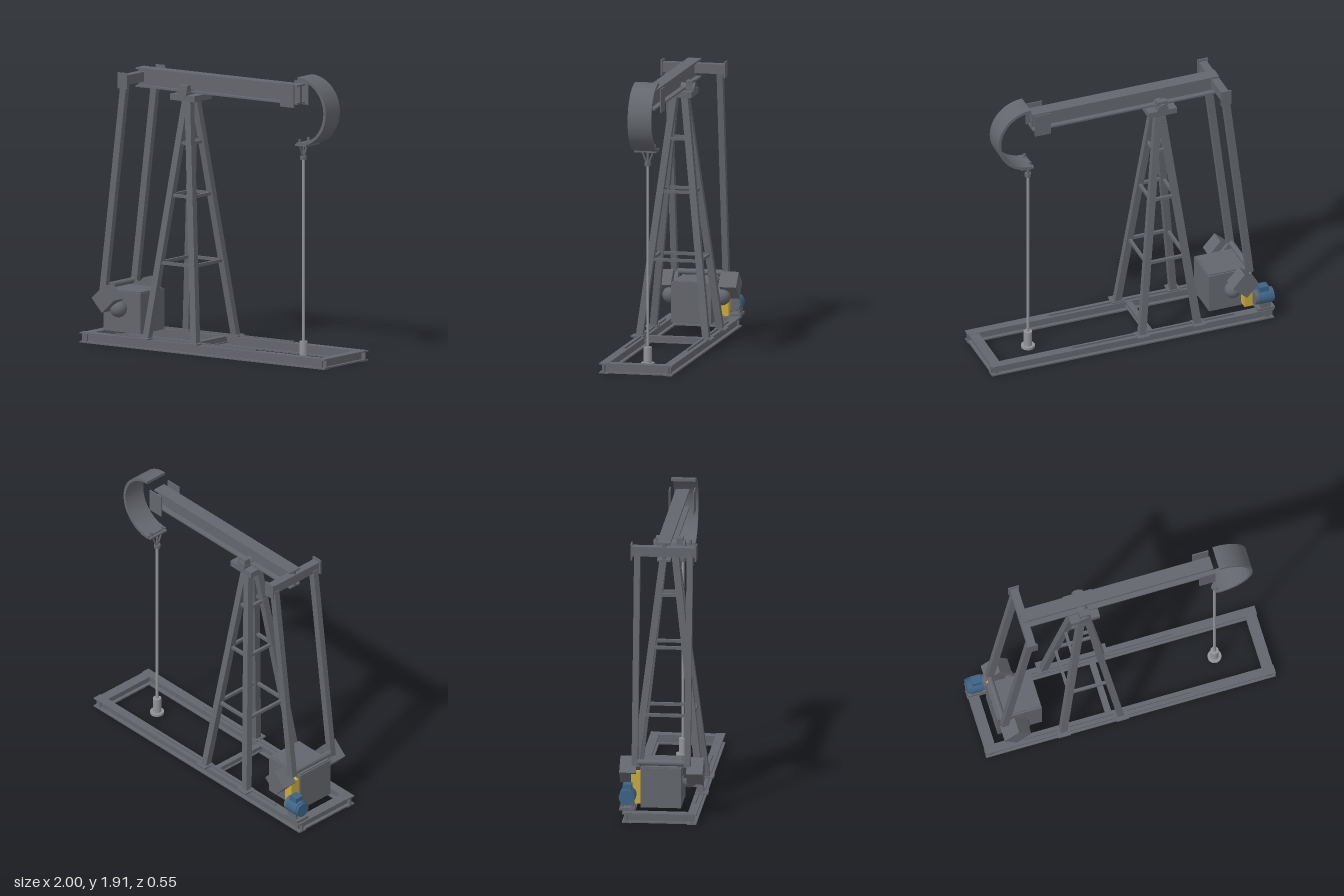
import * as THREE from 'three';

const material = (name, color) => {
  const m = new THREE.MeshStandardMaterial({ color });
  m.name = name;
  return m;
};

export function createModel() {
  const model = new THREE.Group();
  model.name = 'pumpjack';
  const steel = material('dark steel', 0x63666c);
  const bright = material('bright steel', 0x929498);
  const blue = material('motor blue', 0x3d6386);
  const yellow = material('guard yellow', 0xc8aa3c);

  function add(name, geometry, mat, x = 0, y = 0, z = 0) {
    const mesh = new THREE.Mesh(geometry, mat);
    mesh.name = name;
    mesh.position.set(x, y, z);
    model.add(mesh);
    return mesh;
  }
  // Box given by its lower and upper limits
  const box = (name, [x0, x1], [y0, y1], [z0, z1], mat = steel) =>
    add(name, new THREE.BoxGeometry(x1 - x0, y1 - y0, z1 - z0), mat,
      (x0 + x1) / 2, (y0 + y1) / 2, (z0 + z1) / 2);
  // Cylinder between two points
  function rod(name, a, b, r, mat = steel, sides = 20) {
    const from = new THREE.Vector3(...a), to = new THREE.Vector3(...b);
    const dir = to.clone().sub(from);
    const mesh = add(name, new THREE.CylinderGeometry(r, r, dir.length(), sides), mat);
    mesh.position.copy(from).add(to).multiplyScalar(0.5);
    mesh.quaternion.setFromUnitVectors(new THREE.Vector3(0, 1, 0), dir.normalize());
    return mesh;
  }
  // Leaning post: a box whose upper end is shifted sideways
  function post(name, a, b, wx, wz) {
    const g = new THREE.BoxGeometry(wx, b[1] - a[1], wz);
    const p = g.attributes.position;
    for (let i = 0; i < p.count; i++) {
      const end = p.getY(i) > 0 ? b : a;
      p.setXYZ(i, p.getX(i) + end[0], end[1], p.getZ(i) + end[2]);
    }
    g.computeVertexNormals();
    return add(name, g, steel);
  }
  // I-section beam, centred, running along x or z
  function iBeam(name, length, h, w, flange, web, x, y, z, alongX = true) {
    const s = new THREE.Shape();
    const H = h / 2, W = w / 2, t = web / 2, f = H - flange;
    s.setFromPoints([[-W, -H], [W, -H], [W, -f], [t, -f], [t, f], [W, f], [W, H],
      [-W, H], [-W, f], [-t, f], [-t, -f], [-W, -f]].map((q) => new THREE.Vector2(...q)));
    const g = new THREE.ExtrudeGeometry(s, { depth: length, bevelEnabled: false });
    g.translate(0, 0, -length / 2);
    if (alongX) g.rotateY(Math.PI / 2);
    return add(name, g, steel, x, y, z);
  }

  // Skid frame
  for (const s of [-1, 1]) {
    iBeam('skidRail', 2, 0.07, 0.06, 0.01, 0.014, 0, 0.035, s * 0.217);
    box('railStrip', [-0.73, 0.42], [0.07, 0.082], [s * 0.213 - 0.007, s * 0.213 + 0.007]);
    iBeam('endBeam', 0.47, 0.066, 0.07, 0.01, 0.025, s * 0.96, 0.035, 0, false);
  }
  iBeam('middleBeam', 0.43, 0.045, 0.04, 0.008, 0.02, -0.14, 0.045, 0, false);

  // Support tower with four leaning legs
  const cx = -0.267, footY = 0.075, topY = 1.67;
  const legX = (y) => THREE.MathUtils.mapLinear(y, footY, topY, 0.197, 0.01);
  const legZ = (y) => THREE.MathUtils.mapLinear(y, footY, topY, 0.226, 0.036);
  for (const sx of [-1, 1]) for (const sz of [-1, 1]) {
    post('towerLeg', [cx + sx * legX(footY), footY, sz * legZ(footY)],
      [cx + sx * legX(topY), topY, sz * legZ(topY)], 0.046, 0.046);
    const fx = cx + sx * 0.2, fz = sz * 0.235;
    box('footPlate', [fx - 0.042, fx + 0.042], [0.07, 0.08], [fz - 0.042, fz + 0.042]);
  }
  for (const y of [0.58, 1.03, 1.38]) {
    const x = legX(y), z = legZ(y), h = 0.01;
    for (const s of [-1, 1]) {
      box('towerBraceSide', [cx - x, cx + x], [y - h, y + h], [s * z - h, s * z + h]);
      box('towerBraceEnd', [cx + s * x - h, cx + s * x + h], [y - h, y + h], [-z, z]);
    }
  }
  box('towerCap', [-0.37, -0.17], [1.665, 1.705], [-0.1, 0.1]);
  for (const s of [-1, 1])
    box('bearingBlock', [-0.305, -0.235], [1.7, 1.768], [s * 0.07 - 0.022, s * 0.07 + 0.022]);
  rod('pivotShaft', [-0.27, 1.715, -0.105], [-0.27, 1.715, 0.105], 0.037, steel, 24);

  // Walking beam and its end plates
  iBeam('walkingBeam', 1.32, 0.13, 0.09, 0.012, 0.02, -0.03, 1.78, 0);
  for (const s of [-1, 1])
    box('headPlate', [0.52, 0.632], [1.7, 1.857], [s * 0.082 - 0.004, s * 0.082 + 0.004]);

  // Curved head: a half ring swept across the width
  const arc = new THREE.Shape();
  arc.absarc(0, 0, 0.23, -Math.PI / 2 - 0.04, Math.PI / 2, false);
  arc.absarc(0, 0, 0.21, Math.PI / 2, -Math.PI / 2 - 0.04, true);
  const headGeometry = new THREE.ExtrudeGeometry(arc, { depth: 0.16, bevelEnabled: false, curveSegments: 40 });
  add('horseHead', headGeometry, steel, 0.66, 1.678, -0.08);
  box('cableLedge', [0.635, 0.725], [1.446, 1.458], [-0.075, 0.075]);

  // Bridle, polished rod and wellhead
  for (const s of [-1, 1]) {
    rod('bridleCable', [0.65, 1.365, s * 0.008], [0.65, 1.47, s * 0.05], 0.006, steel, 10);
    rod('cableAnchor', [0.655, 1.44, s * 0.05], [0.655, 1.49, s * 0.05], 0.009, steel, 12);
  }
  rod('carrierBar', [0.65, 1.345, 0], [0.65, 1.37, 0], 0.022);
  rod('rodTop', [0.65, 1.37, 0], [0.65, 1.43, 0], 0.008);
  rod('polishedRod', [0.65, 0.12, 0], [0.65, 1.36, 0], 0.009, bright);
  rod('wellhead', [0.65, 0.02, 0], [0.65, 0.13, 0], 0.028, bright, 24);
  rod('wellheadFlange', [0.65, 0.008, 0], [0.65, 0.026, 0], 0.046, bright, 24);

  // Gearbox
  box('gearbox', [-0.888, -0.583], [0.08, 0.35], [-0.135, 0.135]);
  box('gearboxLid', [-0.88, -0.59], [0.35, 0.358], [-0.125, 0.125]);

  // Cranks, counterweights and pitman arms
  rod('crankShaft', [-0.735, 0.24, -0.17], [-0.735, 0.24, 0.17], 0.04);
  rod('crankPin', [-0.855, 0.38, -0.19], [-0.855, 0.38, 0.19], 0.02);
  for (const s of [-1, 1]) {
    add('crankHub', new THREE.SphereGeometry(0.056, 24, 16), steel, -0.735, 0.24, s * 0.175);
    const arm = add('crankArm', new THREE.BoxGeometry(0.18, 0.05, 0.025), steel, -0.79, 0.305, s * 0.155);
    const weight = add('counterweight', new THREE.BoxGeometry(0.125, 0.135, 0.11), steel, -0.79, 0.312, s * 0.222);
    arm.rotation.z = weight.rotation.z = -Math.PI / 4 - 0.05;
    post('pitmanArm', [-0.853, 0.36, s * 0.175], [-0.68, 1.77, s * 0.175], 0.048, 0.04);
    box('equalizerPlate', [-0.71, -0.636], [1.725, 1.832], [s * 0.214 - 0.005, s * 0.214 + 0.005]);
  }
  box('equalizerBar', [-0.7, -0.645], [1.75, 1.815], [-0.21, 0.21]);

  // Motor with belt guard
  const mz = -0.215, my = 0.172;
  rod('motorBody', [-0.985, my, mz], [-0.89, my, mz], 0.055, blue, 24);
  rod('motorCover', [-1, my, mz], [-0.985, my, mz], 0.05, blue, 24);
  rod('motorEndBell', [-0.89, my, mz], [-0.865, my, mz], 0.05, steel, 24);
  box('junctionBox', [-0.965, -0.9], [0.215, 0.255], [mz - 0.03, mz + 0.03], blue);
  box('motorBase', [-1, -0.88], [0.085, 0.103], [mz - 0.05, mz + 0.05]);
  for (const s of [-1, 1])
    box('motorFoot', [-0.975, -0.9], [0.1, 0.14], [mz + s * 0.035 - 0.008, mz + s * 0.035 + 0.008]);
  box('beltGuard', [-0.872, -0.81], [0.1, 0.32], [-0.2, -0.13], yellow);

  return model;
}
